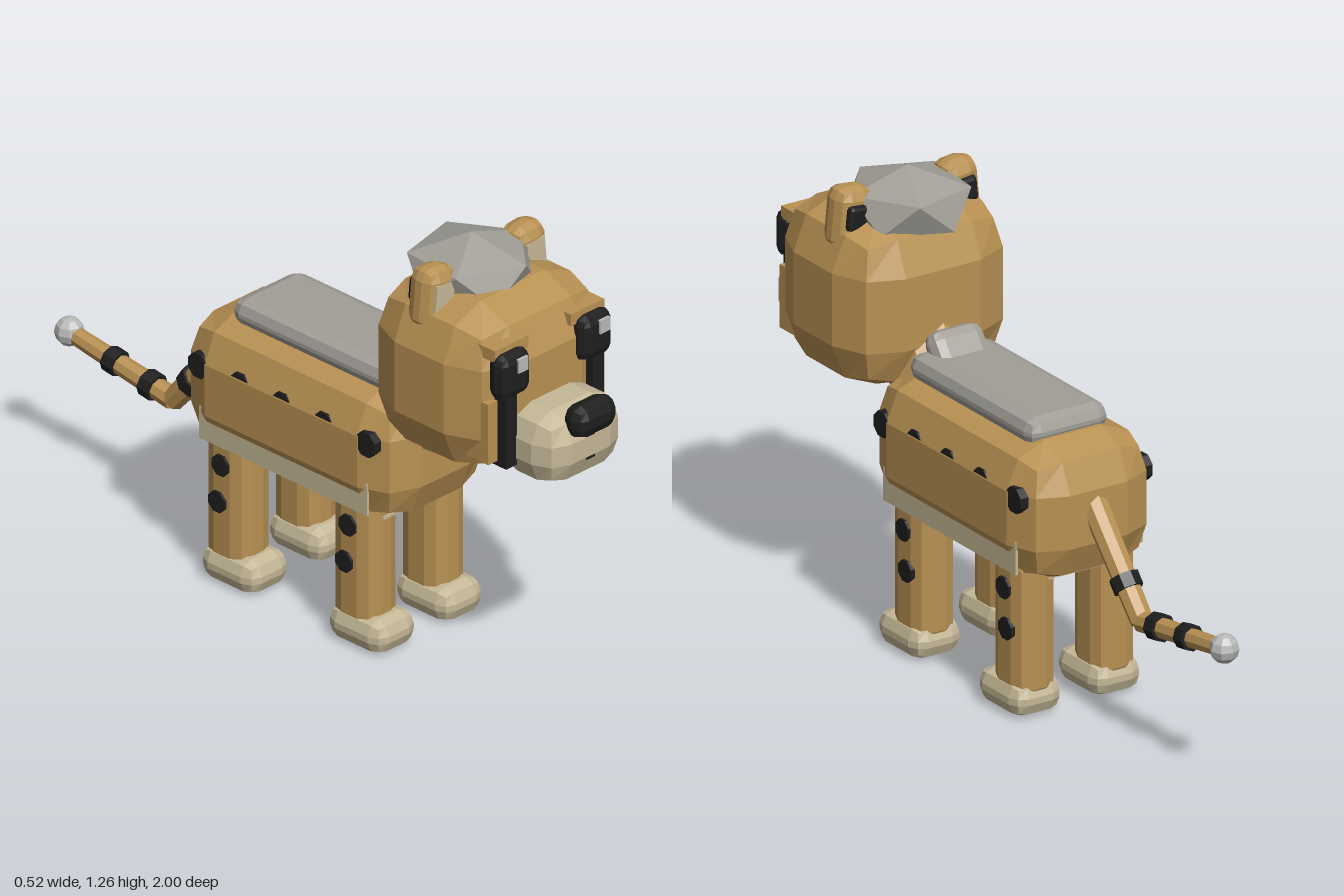
import * as THREE from 'three';
import { RoundedBoxGeometry } from 'three/addons/geometries/RoundedBoxGeometry.js';

const mat = (name, color) => {
  const m = new THREE.MeshStandardMaterial({ color });
  m.name = name;
  return m;
};

export function createModel() {
  const model = new THREE.Group();
  model.name = 'spottedCat';
  const tan = mat('tanFur', 0xb99153);
  const cream = mat('creamFur', 0xc5b897);
  const gray = mat('grayMane', 0xa19e97);
  const black = mat('blackMarkings', 0x1e1e1e);
  const pale = mat('paleTip', 0xb9b9b9);

  // Faceted mesh: every face gets its own normal
  const add = (name, geo, material, pos, parent = model) => {
    const g = geo.index ? geo.toNonIndexed() : geo;
    g.computeVertexNormals();
    const mesh = new THREE.Mesh(g, material);
    mesh.name = name;
    mesh.position.set(...pos);
    parent.add(mesh);
    return mesh;
  };
  // Bevelled box from its visible extents; one bevel step shrinks each side by 0.095 r
  const block = (name, material, [x0, x1], [y0, y1], [z0, z1], r, parent) => {
    const k = 0.19 * r;
    return add(name, new RoundedBoxGeometry(x1 - x0 + k, y1 - y0 + k, z1 - z0 + k, 1, r), material,
      [(x0 + x1) / 2, (y0 + y1) / 2, (z0 + z1) / 2], parent);
  };
  const plate = (name, material, [x0, x1], [y0, y1], [z0, z1]) =>
    add(name, new THREE.BoxGeometry(x1 - x0, y1 - y0, z1 - z0), material,
      [(x0 + x1) / 2, (y0 + y1) / 2, (z0 + z1) / 2]);
  // Mirrors an x range to the given side
  const side = (s, a, b) => (s > 0 ? [a, b] : [-b, -a]);
  // Tapered rod between two points
  const rod = (name, material, a, b, rA, rB, sides) => {
    const p = new THREE.Vector3(...a), q = new THREE.Vector3(...b);
    const d = q.clone().sub(p);
    const mesh = add(name, new THREE.CylinderGeometry(rB, rA, d.length(), sides), material,
      p.clone().add(q).multiplyScalar(0.5).toArray());
    mesh.quaternion.setFromUnitVectors(new THREE.Vector3(0, 1, 0), d.normalize());
    return mesh;
  };

  // Body, belly, back and neck
  block('body', tan, [-0.2, 0.2], [0.39, 0.76], [-0.36, 0.42], 0.12);
  plate('belly', cream, [-0.14, 0.14], [0.384, 0.392], [-0.28, 0.34]);
  block('backMane', gray, [-0.125, 0.125], [0.745, 0.82], [-0.24, 0.34], 0.035);
  rod('neck', tan, [0, 0.56, 0.28], [0, 0.88, 0.52], 0.125, 0.125, 8);
  const nape = block('napeMane', gray, [-0.08, 0.08], [0.78, 0.85], [0.22, 0.35], 0.033);
  nape.rotation.x = -0.9;

  // Head, muzzle, nose and mouth
  block('head', tan, [-0.245, 0.245], [0.69, 1.15], [0.37, 0.805], 0.14);
  block('muzzle', cream, [-0.14, 0.14], [0.695, 0.89], [0.75, 0.96], 0.075);
  block('nose', black, [-0.072, 0.072], [0.838, 0.925], [0.93, 1.0], 0.034);
  plate('mouthLine', black, [-0.016, 0.016], [0.755, 0.85], [0.958, 0.967]);

  // Faceted crest: squashed icosahedron standing on a corner
  const crest = new THREE.IcosahedronGeometry(0.19, 0);
  crest.rotateZ(Math.atan2(2, 1 + Math.sqrt(5)));
  crest.rotateY(1.8);
  crest.scale(1, 0.53, 1);
  add('crest', crest, gray, [0, 1.165, 0.525]);

  for (const s of [1, -1]) {
    // Face
    block('eye', black, side(s, 0.098, 0.208), [0.95, 1.076], [0.79, 0.845], 0.026);
    plate('eyeGlint', pale, [s * 0.153 + 0.0, s * 0.153 + 0.037], [1.022, 1.062], [0.843, 0.852]);
    plate('tearStripe', black, side(s, 0.143, 0.183), [0.74, 0.97], [0.78, 0.835]);
    plate('brow', tan, side(s, 0.08, 0.205), [1.06, 1.095], [0.75, 0.815]);
    plate('cheek', tan, side(s, 0.13, 0.218), [0.755, 0.935], [0.72, 0.803]);

    // Ear with light inside and dark back
    const ear = new THREE.Group();
    ear.name = 'ear';
    ear.position.set(s * 0.173, 1.15, 0.55);
    ear.rotation.z = s * 0.1;
    model.add(ear);
    block('earShell', tan, [-0.052, 0.052], [-0.09, 0.087], [-0.043, 0.043], 0.035, ear);
    add('earInside', new THREE.BoxGeometry(0.066, 0.1, 0.008), cream, [0, 0, 0.045], ear);
    block('earBack', black, [-0.032, 0.032], [-0.025, 0.045], [-0.058, -0.03], 0.012, ear);

    // Light flank stripe
    plate('flankStripe', cream, side(s, 0.195, 0.203), [0.42, 0.515], [-0.28, 0.34]);

    // Legs and paws
    for (const [name, z] of [['front', 0.26], ['back', -0.21]]) {
      block(name + 'Leg', tan, side(s, 0.067, 0.186), [0.04, 0.46], [z - 0.07, z + 0.07], 0.045);
      block(name + 'Paw', cream, side(s, 0.052, 0.2), [0.005, 0.096], [z - 0.075, z + 0.12], 0.04);
    }

    // Spots: [z, y, radius, outer x]
    const spots = [[0.26, 0.36, 0.032, 0.198], [0.247, 0.247, 0.032, 0.198],
      [-0.21, 0.36, 0.032, 0.198], [-0.222, 0.247, 0.032, 0.198]];
    for (let i = 0; i < 5; i++) spots.push([0.34 - i * 0.155, 0.637, 0.038, 0.21]);
    for (let i = 0; i < 3; i++) spots.push([0.26 - i * 0.23, 0.545, 0.032, 0.21]);
    for (const [z, y, r, x] of spots) {
      const disc = new THREE.CylinderGeometry(r, r, 0.03, 8).rotateY(Math.PI / 8).rotateZ(Math.PI / 2);
      add('spot', disc, black, [s * (x - 0.015), y, z]);
    }
  }

  // Tail: two rods, dark rings and a pale tip
  const root = [0, 0.635, -0.32], bend = [0, 0.345, -0.575], end = [0, 0.4, -0.955];
  rod('tailBase', tan, root, bend, 0.038, 0.032, 8);
  rod('tailEnd', tan, bend, end, 0.031, 0.025, 8);
  const ring = (a, b, t, r) => {
    const at = (u) => a.map((v, i) => v + (b[i] - v) * u);
    const half = 0.02 / Math.hypot(b[1] - a[1], b[2] - a[2]);
    rod('tailRing', black, at(t - half), at(t + half), r, r, 8);
  };
  ring(root, bend, 0.71, 0.042);
  ring(bend, end, 0.21, 0.039);
  ring(bend, end, 0.57, 0.037);
  add('tailTip', new THREE.SphereGeometry(0.041, 8, 6), pale, [0, 0.402, -0.96]);

  return model;
}
